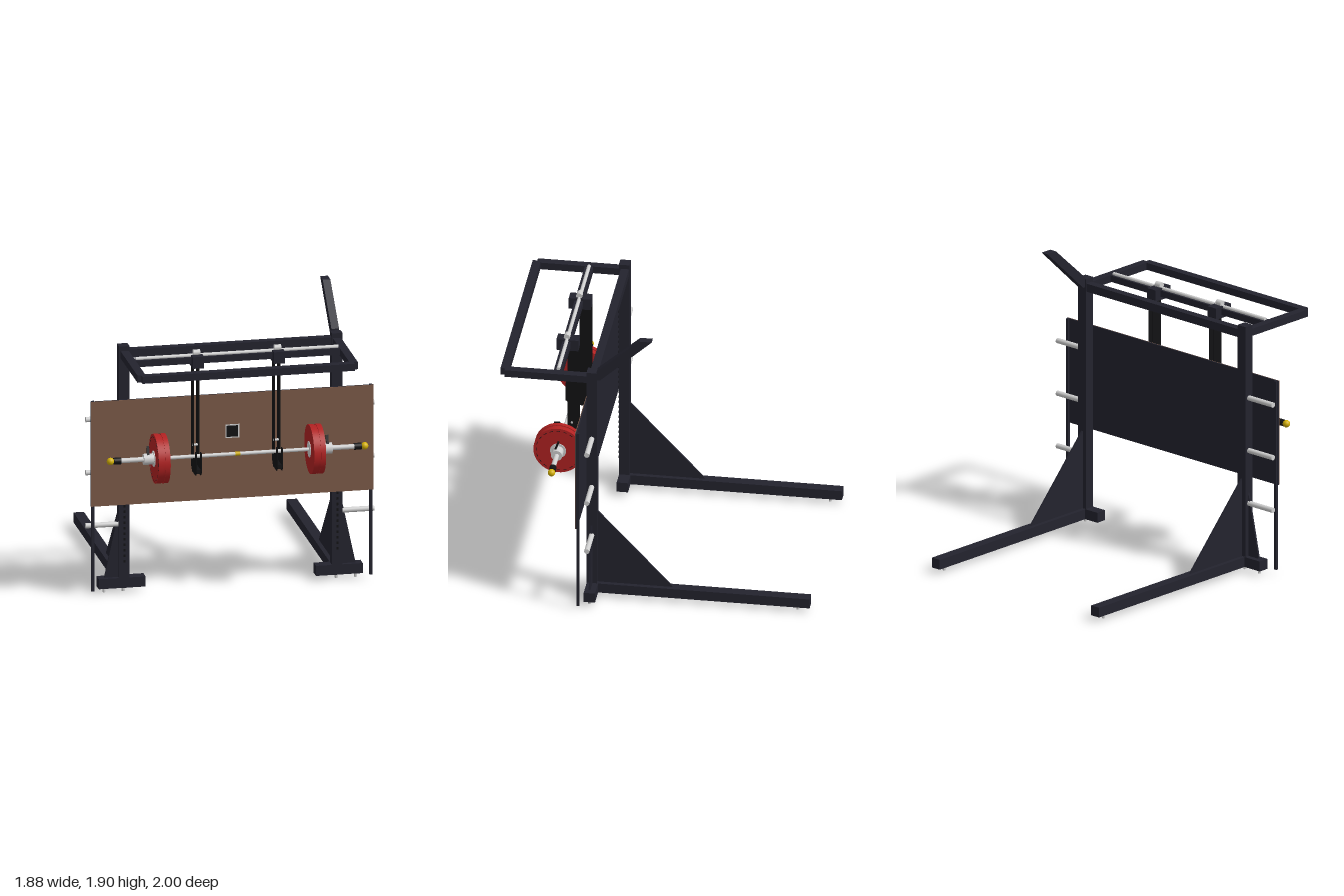
import * as THREE from 'three';

const mat = (name, color, side = THREE.FrontSide) => {
  const m = new THREE.MeshStandardMaterial({ color, side });
  m.name = name;
  return m;
};

export function createModel() {
  const frame = mat('frame charcoal', 0x23232e);
  const board = mat('board brown', 0x7b5a48);
  const red = mat('plate red', 0xb22222);
  const steel = mat('steel', 0xd0d0d0);
  const yellow = mat('yellow', 0xd4b106);
  const black = mat('black', 0x121214);

  const root = new THREE.Group();
  root.name = 'weightRack';

  const add = (name, geo, material, parent = root) => {
    const m = new THREE.Mesh(geo, material);
    m.name = name;
    parent.add(m);
    return m;
  };
  // box given by its extents along each axis
  const box = (name, [x0, x1], [y0, y1], [z0, z1], material, parent) => {
    const m = add(name, new THREE.BoxGeometry(x1 - x0, y1 - y0, z1 - z0), material, parent);
    m.position.set((x0 + x1) / 2, (y0 + y1) / 2, (z0 + z1) / 2);
    return m;
  };
  // cylinder lying along x
  const rod = (name, x0, x1, y, z, r, material, parent, sides = 24) => {
    const m = add(name, new THREE.CylinderGeometry(r, r, Math.abs(x1 - x0), sides), material, parent);
    m.rotation.z = Math.PI / 2;
    m.position.set((x0 + x1) / 2, y, z);
    return m;
  };
  // side profile of [z, y] points, extruded along x and centred on x
  const sidePlate = (name, pts, x, thick, material, parent) => {
    const shape = new THREE.Shape(pts.map(([z, y]) => new THREE.Vector2(-z, y)));
    const geo = new THREE.ExtrudeGeometry(shape, { depth: thick, bevelEnabled: false });
    geo.translate(0, 0, -thick / 2);
    geo.rotateY(Math.PI / 2);
    const m = add(name, geo, material, parent);
    m.position.x = x;
    return m;
  };
  const span = (s, a, b) => (s > 0 ? [a, b] : [-b, -a]);

  for (const s of [1, -1]) {
    const side = new THREE.Group();
    side.name = s > 0 ? 'leftSide' : 'rightSide';
    root.add(side);

    // upright, base leg and cross foot
    box('upright', span(s, 0.66, 0.728), [0.03, 1.645], [0.372, 0.44], frame, side);
    box('baseLeg', span(s, 0.66, 0.728), [0.03, 0.096], [-1, 0.375], frame, side);
    box('crossFoot', span(s, 0.555, 0.86), [0.03, 0.097], [0.365, 0.438], frame, side);
    box('topArm', span(s, 0.665, 0.718), [1.565, 1.613], [0.44, 0.97], frame, side);

    // gussets, one along the leg and one along the foot
    sidePlate('legGusset', [[0.375, 0.62], [0.375, 0.09], [-0.12, 0.09]], s * 0.694, 0.012, frame, side);
    const tri = new THREE.Shape([[0.72, 0.56], [0.72, 0.09], [0.82, 0.09]]
      .map(([x, y]) => new THREE.Vector2(s * x, y)));
    const footGusset = add('footGusset',
      new THREE.ExtrudeGeometry(tri, { depth: 0.012, bevelEnabled: false }), frame, side);
    footGusset.position.z = 0.4;

    // levelling feet
    for (const [x, z] of [[0.694, 0.405], [0.82, 0.405], [0.694, -0.92]]) {
      const f = add('levellingFoot', new THREE.CylinderGeometry(0.01, 0.01, 0.035, 16), steel, side);
      f.position.set(s * x, 0.0175, z);
    }
    // storage pegs
    for (const y of [0.45, 0.805, 1.16])
      rod('storagePeg', s * 0.72, s * 0.94, y, 0.406, 0.017, steel, side);
    // row of studs up the front of the upright
    for (let y = 0.2; y < 1.3; y += 0.037)
      box('stud', span(s, 0.688, 0.7), [y, y + 0.016], [0.438, 0.445], black, side);

    // board support post
    box('boardPost', span(s, 0.897, 0.916), [0.03, 1.3], [0.458, 0.476], frame, side);
  }

  // top frame
  box('rearTopBar', [-0.665, 0.665], [1.562, 1.616], [0.375, 0.427], frame);
  box('frontTopBar', [-0.692, 0.692], [1.565, 1.612], [0.947, 1], frame);
  box('railBeam', [-0.665, 0.665], [1.57, 1.612], [0.606, 0.66], frame);
  rod('railRod', -0.66, 0.66, 1.618, 0.632, 0.012, steel);

  // slanted arm on the left upright
  sidePlate('slantedArm', [[0.375, 1.59], [0.375, 1.655], [0.1, 1.9], [0.02, 1.9], [0.355, 1.59]],
    0.694, 0.05, frame);

  // backboard with painted front and a plain label
  box('backboard', [-0.921, 0.921], [0.6, 1.3], [0.472, 0.482], frame);
  box('boardFace', [-0.921, 0.921], [0.6, 1.3], [0.482, 0.486], board);
  box('labelBorder', [-0.045, 0.045], [1.005, 1.095], [0.486, 0.489], steel);
  box('labelCentre', [-0.037, 0.037], [1.013, 1.087], [0.489, 0.491], black);

  // hanging hooks on trolleys
  const hook = [[0.553, 1.56], [0.553, 0.865], [0.585, 0.83], [0.69, 0.83], [0.722, 0.86],
    [0.722, 0.985], [0.68, 0.985], [0.68, 0.935], [0.63, 0.935], [0.63, 1.56]];
  for (const s of [1, -1]) {
    const g = new THREE.Group();
    g.name = 'hangingHook';
    g.position.x = s * 0.264;
    root.add(g);
    box('trolley', [-0.037, 0.037], [1.548, 1.625], [0.556, 0.698], frame, g);
    rod('trolleyRoller', -0.022, 0.022, 1.636, 0.633, 0.02, steel, g);
    for (const x of [-0.0165, 0.0165]) sidePlate('hookPlate', hook, x, 0.005, black, g);
    rod('hookPin', -0.021, 0.021, 1.01, 0.6, 0.008, steel, g);
    box('hookBlock', [-0.014, 0.014], [0.845, 0.87], [0.58, 0.7], black, g);
  }

  // barbell
  const bar = new THREE.Group();
  bar.name = 'barbell';
  bar.position.set(0, 0.948, 0.65);
  root.add(bar);
  rod('shaft', -0.5, 0.5, 0, 0, 0.012, steel, bar);
  rod('centreMark', -0.016, 0.016, 0, 0, 0.0135, yellow, bar);
  for (const s of [1, -1]) {
    // weight plate: two rims on a slightly recessed core
    rod('plateInner', s * 0.468, s * 0.499, 0, 0, 0.16, red, bar, 48);
    rod('plateCore', s * 0.498, s * 0.514, 0, 0, 0.155, red, bar, 48);
    rod('plateOuter', s * 0.513, s * 0.545, 0, 0, 0.16, red, bar, 48);
    rod('plateHub', s * 0.464, s * 0.55, 0, 0, 0.052, steel, bar, 32);
    for (let i = 0; i < 20; i++) {
      const a = (i / 20) * Math.PI * 2;
      const d = box('rimDash', [-0.001, 0.001], [-0.0015, 0.0015], [-0.011, 0.011], black, bar);
      d.position.set(s * 0.5455, Math.cos(a) * 0.142, Math.sin(a) * 0.142);
      d.rotation.x = a;
    }
    // collar with its lever
    rod('collar', s * 0.55, s * 0.614, 0, 0, 0.036, steel, bar, 32);
    const lever = box('collarLever', [-0.008, 0.008], [-0.03, 0.03], [-0.006, 0.006], black, bar);
    lever.position.set(s * 0.584, 0.058, 0.002);
    lever.rotation.x = -0.35;
    // sleeve, grip and end ball
    rod('sleeve', s * 0.61, s * 0.77, 0, 0, 0.016, steel, bar);
    rod('endGrip', s * 0.76, s * 0.807, 0, 0, 0.022, black, bar);
    const ball = add('endBall', new THREE.SphereGeometry(0.024, 24, 16), yellow, bar);
    ball.position.x = s * 0.828;
  }

  return root;
}
